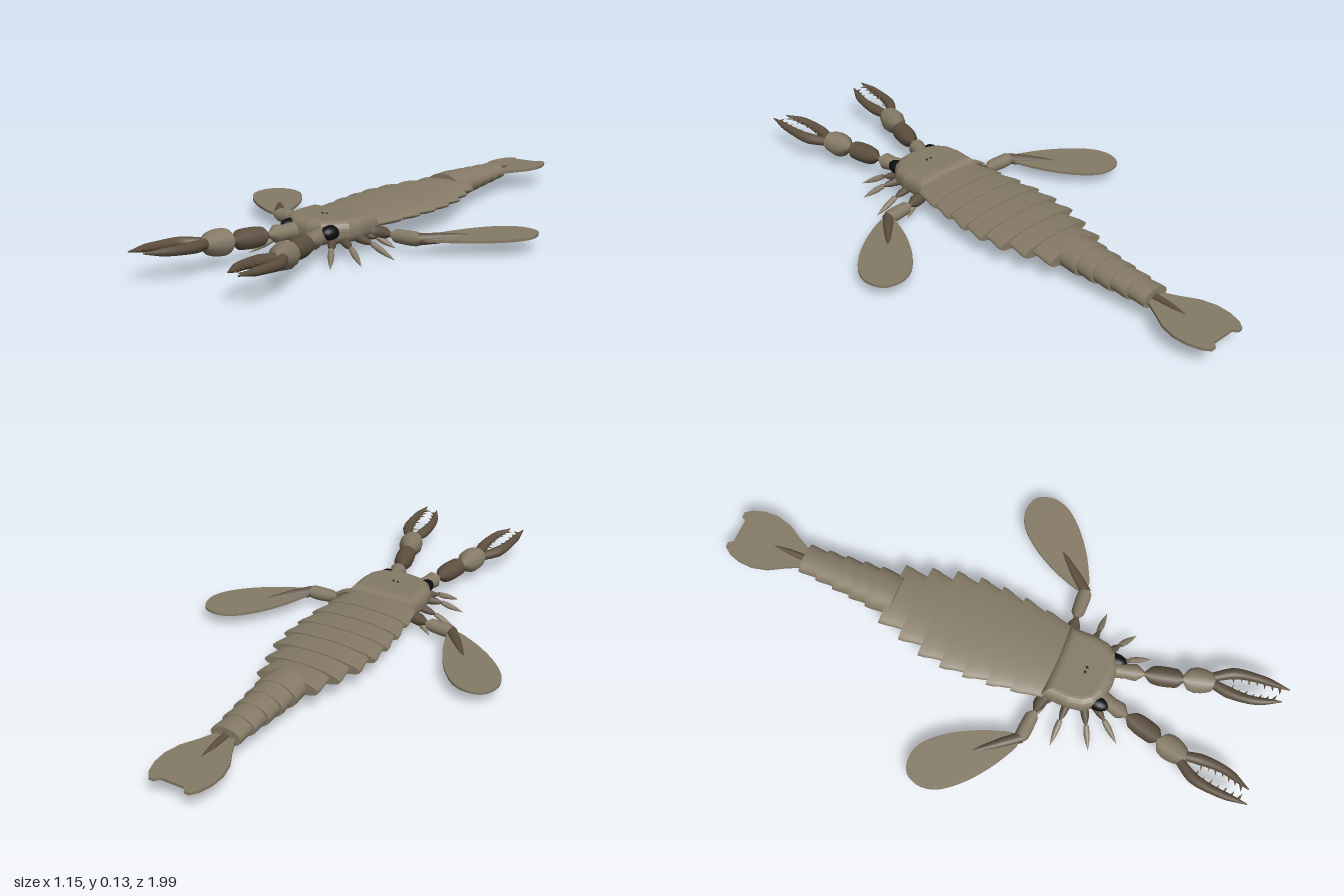
import * as THREE from 'three';

const mat = (name, color) => {
  const m = new THREE.MeshStandardMaterial({ color, side: THREE.DoubleSide });
  m.name = name;
  return m;
};
const V = (x, y, z) => new THREE.Vector3(x, y, z);

export function createModel() {
  const shell = mat('shell tan', 0x857a66);
  const dark = mat('limb brown', 0x5c4f3f);
  const black = mat('eye black', 0x0c0d0f);
  const tooth = mat('tooth brown', 0x6b5638);
  const model = new THREE.Group();

  const add = (name, geo, material, parent = model) => {
    const m = new THREE.Mesh(geo, material);
    m.name = name;
    parent.add(m);
    return m;
  };

  // Tapered tube: radii are spread evenly along the curve
  const limb = (pts, radii, seg = 16, sides = 12) => {
    const curve = new THREE.CatmullRomCurve3(pts);
    const geo = new THREE.TubeGeometry(curve, seg, 1, sides);
    const p = geo.attributes.position, v = V(0, 0, 0);
    for (let i = 0; i <= seg; i++) {
      const c = curve.getPointAt(i / seg);
      const f = (i / seg) * (radii.length - 1), k = Math.min(Math.floor(f), radii.length - 2);
      const r = THREE.MathUtils.lerp(radii[k], radii[k + 1], f - k);
      for (let j = 0; j <= sides; j++) {
        const n = i * (sides + 1) + j;
        v.fromBufferAttribute(p, n).sub(c).multiplyScalar(r).add(c);
        p.setXYZ(n, v.x, v.y, v.z);
      }
    }
    return geo;
  };

  // Horizontal plate from outline points given as [x, z]
  const plate = (pts, y, depth, opts = { bevelEnabled: false }) => {
    const shape = new THREE.Shape(pts.map(([x, z]) => new THREE.Vector2(x, -z)));
    return new THREE.ExtrudeGeometry(shape, { depth, ...opts }).rotateX(-Math.PI / 2).translate(0, y, 0);
  };
  const smooth = (pts, n = 48) =>
    new THREE.CatmullRomCurve3(pts.map(([x, z]) => V(x, 0, z)), true).getPoints(n).slice(0, -1).map(p => [p.x, p.z]);

  // Overlapping body ring: elliptical, with a lip at its wider rear edge
  const ring = (name, zFront, zRear, wFront, wRear, hFront, hRear, y) => {
    const len = zFront - zRear;
    const geo = new THREE.CylinderGeometry(1, 1, len, 40, 4).rotateX(Math.PI / 2);
    const p = geo.attributes.position;
    for (let i = 0; i < p.count; i++) {
      const t = 0.5 - p.getZ(i) / len;
      const lip = t > 0.7 && t < 0.9 ? 1.015 : 1;
      p.setX(i, p.getX(i) * THREE.MathUtils.lerp(wFront, wRear, t) * lip);
      p.setY(i, p.getY(i) * THREE.MathUtils.lerp(hFront, hRear, t) * lip);
    }
    geo.computeVertexNormals();
    add(name, geo.translate(0, y, (zFront + zRear) / 2), shell);
  };

  // Broad trunk rings: rear z and rear half-width
  const trunk = [[0.13, 0.16], [0.045, 0.173], [-0.04, 0.18], [-0.125, 0.18], [-0.21, 0.17], [-0.295, 0.145], [-0.383, 0.117]];
  trunk.forEach(([z, w], i) => {
    const front = (i ? trunk[i - 1][0] : 0.23) + 0.006;
    ring('trunkRing', front, z, w * (i < 3 ? 0.86 : 0.9), w, 0.024, 0.028, 0.083);
  });

  // Narrow, deeper tail rings
  const tailZ = [-0.368, -0.453, -0.518, -0.585, -0.652, -0.72];
  for (let i = 0; i < 5; i++) {
    const w = 0.079 - i * 0.006, h = 0.049 - i * 0.004;
    ring('tailRing', tailZ[i] + 0.004, tailZ[i + 1], w * 0.92, w, h, h - 0.002, 0.08);
  }

  // Notched tail fan with a central spine
  const half = [[0.035, -0.72], [0.06, -0.77], [0.092, -0.825], [0.106, -0.88], [0.104, -0.93], [0.09, -0.975],
    [0.072, -0.998], [0.055, -0.998], [0.043, -0.982]];
  add('tailFan', plate([...half, ...half.slice().reverse().map(([x, z]) => [-x, z])], 0.07, 0.01), shell);
  add('tailSpine', limb([V(0, 0.08, -0.71), V(0, 0.08, -0.79), V(0, 0.078, -0.855)], [0.013, 0.01, 0]), dark);

  // Head shield with a rounded rim, and the mouth plate below
  const headHalf = [[0.1, 0.262], [0.102, 0.32], [0.095, 0.36], [0.077, 0.385], [0.045, 0.4], [0, 0.405]];
  add('headShield', plate([...headHalf, ...headHalf.slice(0, -1).reverse().map(([x, z]) => [-x, z])], 0.075, 0.012,
    { bevelThickness: 0.033, bevelSize: 0.033, bevelSegments: 6 }), shell);
  add('mouthPlate', new THREE.SphereGeometry(1, 24, 14).scale(0.055, 0.022, 0.085).translate(0, 0.047, 0.32), shell);

  for (const s of [1, -1]) {
    const side = new THREE.Group();
    side.name = s > 0 ? 'leftLimbs' : 'rightLimbs';
    model.add(side);
    const P = (x, y, z) => V(x * s, y, z);

    // Eyes
    add('eye', new THREE.SphereGeometry(1, 20, 14).scale(0.026, 0.024, 0.04).translate(0.082 * s, 0.085, 0.415), black, side);
    add('smallEye', new THREE.SphereGeometry(0.005, 10, 8).translate(0.009 * s, 0.119, 0.338), black, side);

    // Front arm
    add('armBase', limb([P(0.05, 0.072, 0.39), P(0.065, 0.074, 0.46), P(0.083, 0.076, 0.53)], [0, 0.03, 0.026, 0.03, 0]), shell, side);
    add('upperArm', limb([P(0.08, 0.076, 0.515), P(0.098, 0.078, 0.59), P(0.117, 0.08, 0.66)], [0, 0.03, 0.035, 0.035, 0.033, 0]), dark, side);
    add('armPalm', limb([P(0.114, 0.08, 0.64), P(0.13, 0.083, 0.7), P(0.147, 0.086, 0.765)], [0, 0.038, 0.045, 0.042, 0.034, 0]), shell, side);

    // Claw fingers with teeth along their facing edges
    const fingers = [
      [P(0.16, 0.088, 0.74), P(0.197, 0.093, 0.8), P(0.211, 0.099, 0.88), P(0.212, 0.106, 0.99)],
      [P(0.137, 0.088, 0.74), P(0.127, 0.092, 0.81), P(0.132, 0.098, 0.89), P(0.163, 0.105, 0.978)],
    ];
    fingers.forEach((pts, k) => {
      add('clawFinger', limb(pts, [0.016, 0.02, 0.016, 0.013, 0.002], 20), dark, side);
      const curve = new THREE.CatmullRomCurve3(pts);
      const inward = (k ? 1 : -1) * s;
      for (let i = 0; i < 7; i++) {
        const c = curve.getPointAt(0.27 + i * 0.1);
        const len = i % 2 ? 0.027 : 0.035 - i * 0.001;
        add('clawTooth', limb([c, V(c.x + inward * len, c.y, c.z + 0.008)], [0.008, 0], 4, 6), tooth, side);
      }
    });

    // Walking legs: root, tip
    const legs = [
      [P(0.07, 0.06, 0.39), P(0.165, 0.004, 0.525)],
      [P(0.09, 0.06, 0.37), P(0.225, 0.004, 0.445)],
      [P(0.09, 0.06, 0.32), P(0.262, 0.002, 0.32)],
      [P(0.09, 0.055, 0.27), P(0.2, 0.01, 0.225)],
    ];
    for (const [a, b] of legs) {
      const knee = a.clone().lerp(b, 0.55);
      knee.y += 0.012;
      add('walkingLegUpper', limb([a, knee], [0.014, 0.015, 0.012, 0], 8, 10), dark, side);
      add('walkingLegLower', limb([a.clone().lerp(knee, 0.9), b], [0.009, 0.011, 0.007, 0], 8, 10), shell, side);
    }

    // Swimming limb: segments, paddle and its spine
    add('swimArmInner', limb([P(0.08, 0.06, 0.27), P(0.13, 0.058, 0.24), P(0.2, 0.055, 0.23)], [0.024, 0.022, 0.022, 0]), dark, side);
    add('swimArmOuter', limb([P(0.175, 0.055, 0.23), P(0.24, 0.053, 0.226), P(0.31, 0.053, 0.222)], [0, 0.023, 0.024, 0.025, 0.024, 0]), shell, side);
    add('paddleSpine', limb([P(0.285, 0.053, 0.225), P(0.335, 0.053, 0.165), P(0.415, 0.053, 0.07)], [0.02, 0.018, 0.011, 0]), dark, side);
    const profile = [[0, 0.015], [0.06, 0.047], [0.14, 0.073], [0.23, 0.088], [0.31, 0.083], [0.36, 0.055], [0.387, 0]];
    const edge = [...profile, ...profile.slice(0, -1).reverse().map(([t, w]) => [t, -w])];
    const outline = edge.map(([t, w]) => [s * (0.295 + t * 0.66 + w * 0.75), 0.215 - t * 0.75 + w * 0.66]);
    add('swimPaddle', plate(smooth(outline), 0.049, 0.009), shell, side);
  }
  return model;
}
